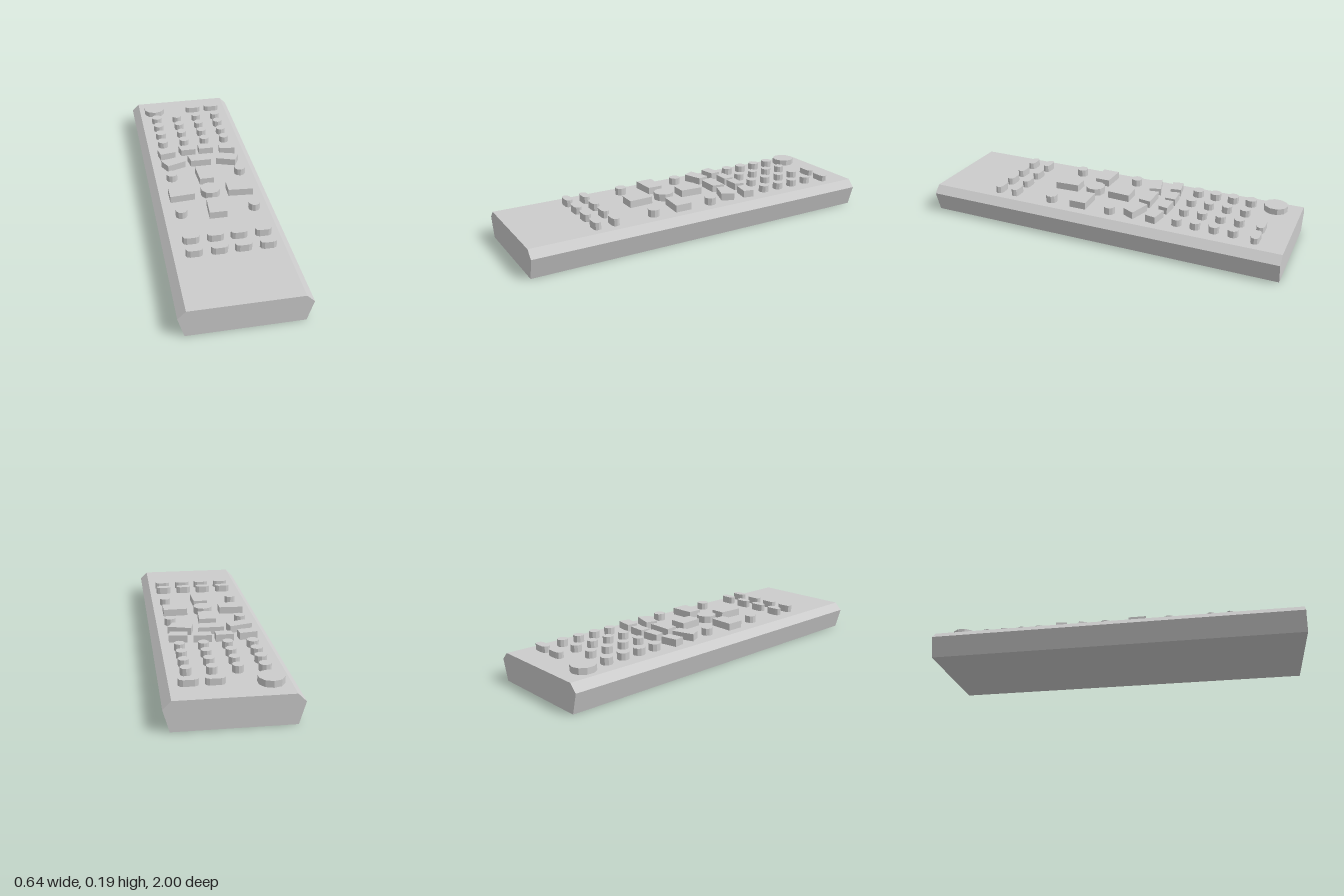
import * as THREE from 'three';

const material = new THREE.MeshStandardMaterial({ color: 0xcccccc, flatShading: true });
const DECK = 0.15;   // height of the top face
const SINK = 0.002;  // how far buttons reach into the body
const TOP = 0.189;   // usual button top

export function createModel() {
  const group = new THREE.Group();

  const add = (geometry, name, x = 0, y = 0, z = 0) => {
    const mesh = new THREE.Mesh(geometry, material);
    mesh.name = name;
    mesh.position.set(x, y, z);
    group.add(mesh);
  };

  // Upright prism over an outline of [x, z] points
  const prism = (name, outline, x = 0, z = 0, top = TOP) => {
    const shape = new THREE.Shape(outline.map(([px, pz]) => new THREE.Vector2(px, -pz)));
    const geometry = new THREE.ExtrudeGeometry(shape, { depth: top - DECK + SINK, bevelEnabled: false });
    add(geometry.rotateX(-Math.PI / 2), name, x, DECK - SINK, z);
  };

  const mirrored = (name, outline) => {
    prism('right' + name, outline);
    prism('left' + name, outline.map(([x, z]) => [-x, z]));
  };

  const round = (name, x, z, radius, top = TOP, sides = 10) => {
    const h = top - DECK + SINK;
    add(new THREE.CylinderGeometry(radius, radius, h, sides), name, x, top - h / 2, z);
  };

  // Rounded-end button
  const pill = (name, x, z, width, depth, top = TOP) => {
    const r = depth / 2, outline = [];
    for (const side of [1, -1]) {
      for (let i = 0; i <= 4; i++) {
        const a = -Math.PI / 2 + (i / 4) * Math.PI;
        outline.push([side * (width / 2 - r + r * Math.cos(a)), side * r * Math.sin(a)]);
      }
    }
    prism(name, outline, x, z, top);
  };

  // Body: six-sided section running the full length
  const section = [[-0.287, 0], [0.287, 0], [0.318, 0.11], [0.278, DECK], [-0.278, DECK], [-0.318, 0.11]];
  const body = new THREE.ExtrudeGeometry(
    new THREE.Shape(section.map(([x, y]) => new THREE.Vector2(x, y))), { depth: 2, bevelEnabled: false });
  add(body.translate(0, 0, -1), 'body');

  // Power button and the two keys beside it
  round('powerButton', -0.187, -0.865, 0.064, 0.183);
  for (const x of [0.066, 0.188]) pill('topKey', x, -0.847, 0.096, 0.043, 0.183);

  // Number pad
  for (const z of [-0.73, -0.63, -0.53, -0.43]) {
    [-0.187, -0.058, 0.066, 0.188].forEach((x, i) =>
      round('numberKey', x, z, i === 0 ? 0.031 : 0.028, 0.187));
  }

  // Two fanned rows of keys
  mirrored('OuterFanKey', [[-0.233, -0.325], [-0.138, -0.341], [-0.132, -0.283], [-0.222, -0.267]]);
  mirrored('InnerFanKey', [[-0.106, -0.346], [-0.011, -0.351], [-0.011, -0.294], [-0.095, -0.294]]);
  mirrored('LowerFanKey', [[-0.228, -0.198], [-0.106, -0.235], [-0.09, -0.172], [-0.196, -0.135]]);
  prism('centreFanKey', [[-0.069, -0.235], [0.069, -0.235], [0.058, -0.167], [-0.058, -0.167]]);

  // Direction pad with a round centre and four corner buttons
  prism('upKey', [[-0.047, -0.1], [0.047, -0.1], [0.04, 0.027], [-0.04, 0.027]]);
  prism('downKey', [[-0.04, 0.214], [0.04, 0.214], [0.047, 0.349], [-0.047, 0.349]]);
  mirrored('ArrowKey', [[-0.228, 0.077], [-0.093, 0.082], [-0.093, 0.162], [-0.228, 0.172]]);
  round('selectButton', 0, 0.122, 0.054);
  for (const x of [-0.187, 0.204]) {
    for (const z of [-0.056, 0.294]) round('cornerButton', x, z, 0.031);
  }

  // Two rows of small keys near the front
  for (const z of [0.519, 0.62]) {
    for (const x of [-0.175, -0.05, 0.071, 0.196]) pill('playbackKey', x, z, 0.087, 0.042);
  }

  return group;
}
